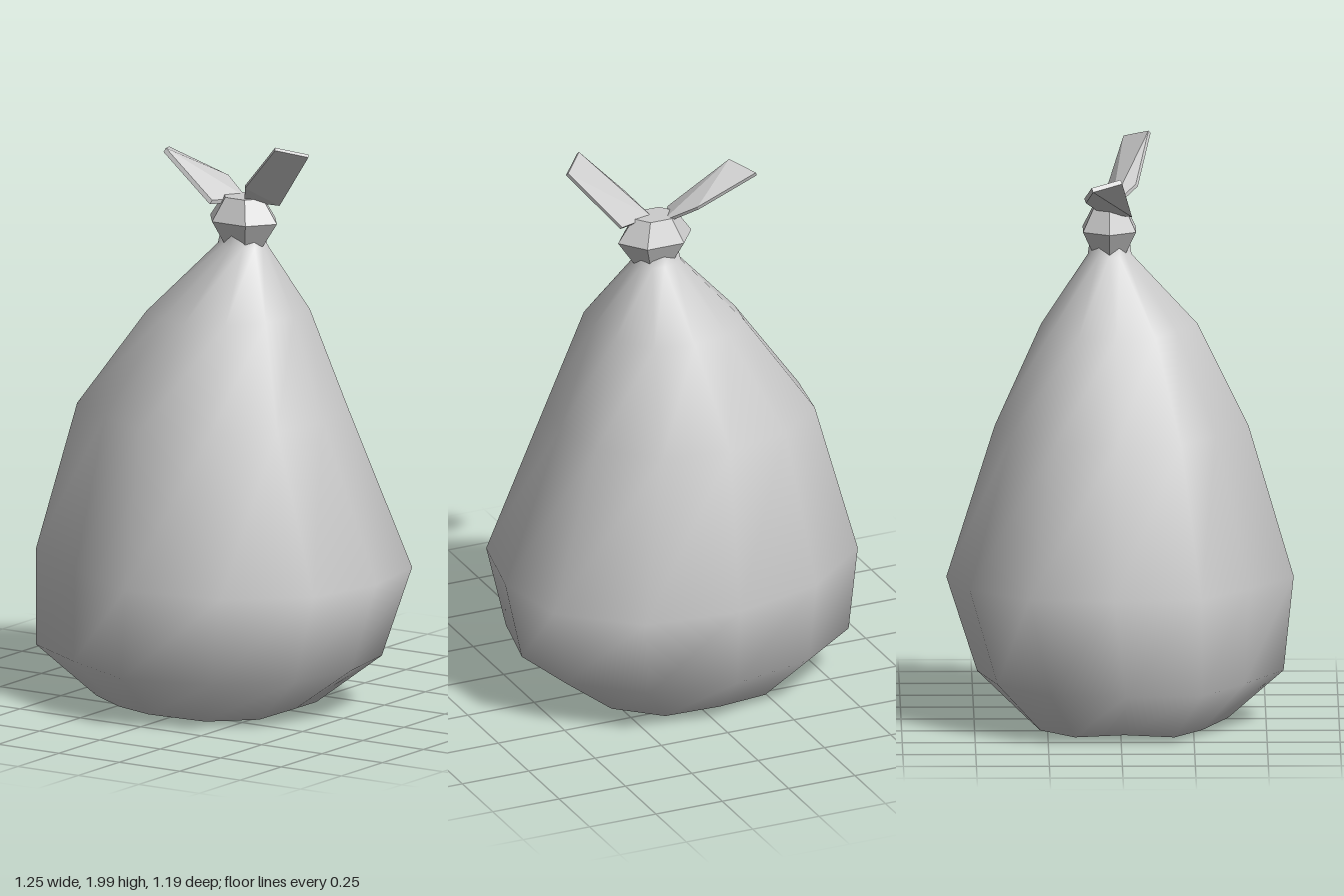
import * as THREE from 'three';
import { ConvexGeometry } from 'three/addons/geometries/ConvexGeometry.js';

const material = (flat) => new THREE.MeshStandardMaterial({
  color: 0xcccccc, flatShading: flat, side: THREE.DoubleSide });

// Widest outline of the sack, seen from above as [x, z] on a unit circle
const outline = [
  [0, -1], [0.53, -0.91], [0.92, -0.53], [1, -0.04], [0.9, 0.45], [0.53, 0.83],
  [0, 1], [-0.5, 0.74], [-0.94, 0.46], [-1, -0.04], [-0.92, -0.53], [-0.52, -0.87]];

// Sack rings: y, min x, max x, min z, max z, tilt towards +x
const rings = [
  [0.01, -0.42, 0.31, -0.32, 0.37, 0],
  [0.18, -0.62, 0.54, -0.49, 0.56, 0],
  [0.5, -0.625, 0.62, -0.595, 0.595, -0.015],
  [1.03, -0.49, 0.405, -0.43, 0.44, 0],
  [1.375, -0.25, 0.285, -0.27, 0.265, 0.01],
  [1.61, -0.025, 0.14, -0.11, 0.04, 0],
  [1.68, -0.01, 0.13, -0.1, 0.03, 0]];

function ringPoint([y, x0, x1, z0, z1, tilt], k) {
  const [u, v] = outline[k];
  return [(x0 + x1) / 2 + u * (x1 - x0) / 2, y + u * tilt,
    (z0 + z1) / 2 + v * (z1 - z0) / 2];
}

function meshFrom(points, index, flat) {
  const g = new THREE.BufferGeometry();
  g.setAttribute('position', new THREE.Float32BufferAttribute(points.flat(), 3));
  g.setIndex(index);
  g.computeVertexNormals();
  return new THREE.Mesh(g, material(flat));
}

function makeSack() {
  const n = outline.length, points = [], index = [];
  rings.forEach((ring, i) => {
    for (let k = 0; k < n; k++) {
      const p = ringPoint(ring, k);
      if (i === 0) p[1] += 0.008 * Math.cos(k * 2.1);
      points.push(p);
      if (i === rings.length - 1) continue;
      const a = i * n + k, b = i * n + (k + 1) % n;
      index.push(a, a + n, b, b, a + n, b + n);
    }
  });
  const sack = meshFrom(points, index, false);
  sack.name = 'sack';

  // Slightly hollow underside
  const basePoints = [...points.slice(0, n), [-0.05, 0.025, 0.02]], baseIndex = [];
  for (let k = 0; k < n; k++) baseIndex.push(n, k, (k + 1) % n);
  const base = meshFrom(basePoints, baseIndex, true);
  base.name = 'sackBase';
  return [sack, base];
}

// Six-sided knot around the neck
function makeKnot() {
  const profile = [[0, 1.61], [0.08, 1.61], [0.138, 1.695], [0.08, 1.777], [0, 1.777]]
    .map(([r, y]) => new THREE.Vector2(r, y));
  const knot = new THREE.Mesh(
    new THREE.LatheGeometry(profile, 6, Math.PI / 2), material(true));
  knot.scale.z = 0.76;
  knot.position.set(0.062, 0, -0.036);
  knot.name = 'knot';
  return knot;
}

// Loose tie end: a thin slab below a five-cornered outline
function makeTie(name, corners, thickness) {
  const top = corners.map((c) => new THREE.Vector3(...c));
  const normal = top[1].clone().sub(top[0]).cross(top[3].clone().sub(top[0])).normalize();
  if (normal.y > 0) normal.negate();
  const bottom = top.map((p) => p.clone().addScaledVector(normal, thickness));
  const tie = new THREE.Mesh(new ConvexGeometry([...top, ...bottom]), material(true));
  tie.name = name;
  return tie;
}

export function createModel() {
  const model = new THREE.Group();
  model.name = 'tiedSack';
  model.add(
    ...makeSack(),
    makeKnot(),
    makeTie('leftTie', [[0.285, 2, 0.1], [0.365, 1.97, 0.015], [0.195, 1.765, -0.06],
      [0.07, 1.77, -0.03], [0.13, 1.84, 0.055]], 0.012),
    makeTie('rightTie', [[-0.235, 1.915, 0], [-0.29, 1.895, -0.1], [-0.06, 1.82, -0.123],
      [0.05, 1.765, -0.07], [-0.02, 1.765, 0.035]], 0.016));
  return model;
}
